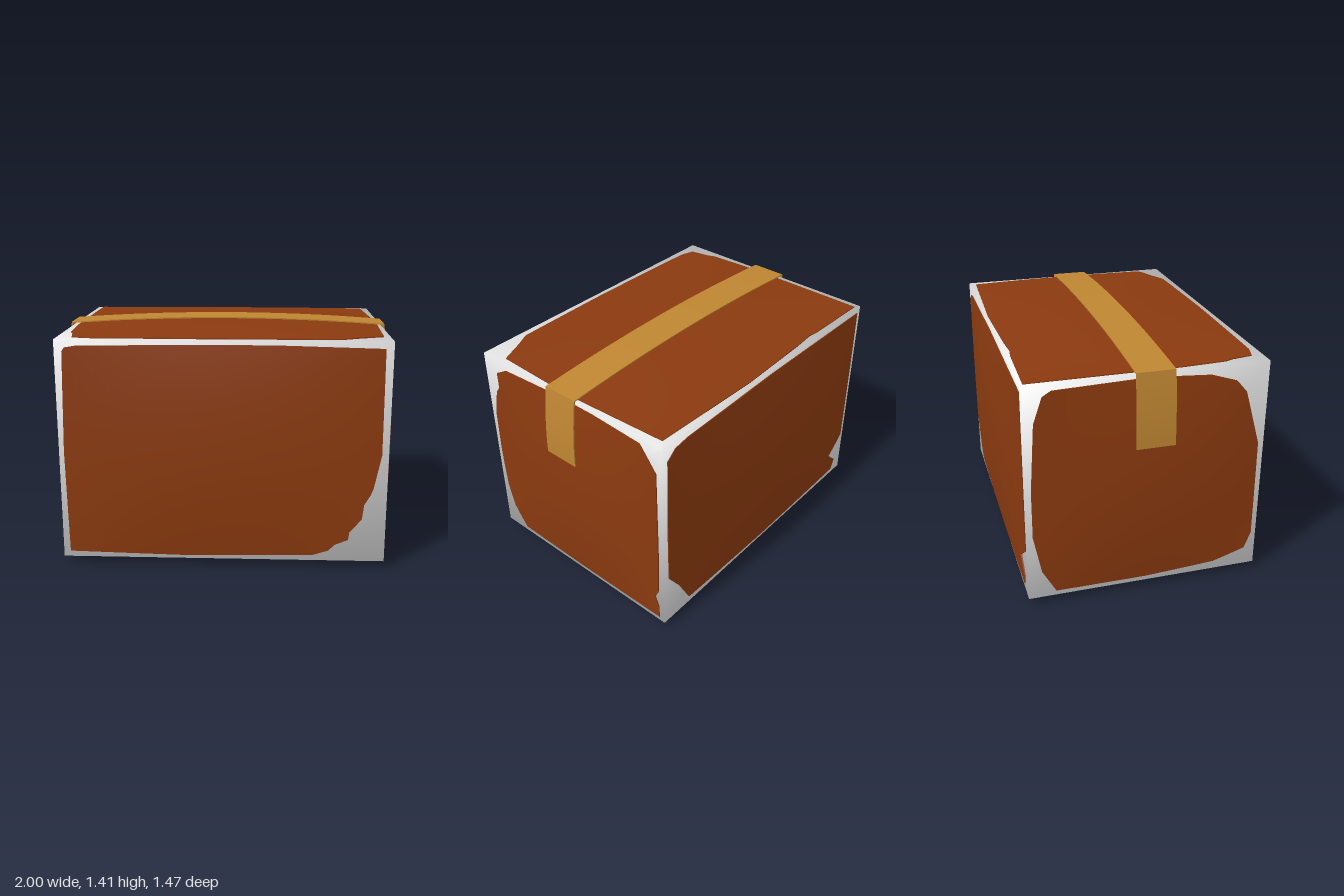
import * as THREE from 'three';
import { toCreasedNormals } from 'three/addons/utils/BufferGeometryUtils.js';

const HALF = new THREE.Vector3(0.95, 0.655, 0.69); // half size of the box
const MID = 0.7;                                   // height of its centre
const BULGE = 0.042;

const mat = (name, color, side = THREE.FrontSide) => {
  const m = new THREE.MeshStandardMaterial({ color, side });
  m.name = name;
  return m;
};

// Splits the long edges of a closed outline.
function densify(points, step = 0.1) {
  const out = [];
  points.forEach((p, i) => {
    const q = points[(i + 1) % points.length];
    const n = Math.ceil(Math.hypot(q[0] - p[0], q[1] - p[1]) / step);
    for (let k = 0; k < n; k++) {
      out.push(new THREE.Vector2(p[0] + (q[0] - p[0]) * k / n, p[1] + (q[1] - p[1]) * k / n));
    }
  });
  return out;
}

// Domed panel on one face: axes u and v (0 = x, 1 = y, 2 = z), facing side * w.
function panelGeometry(u, v, w, side, points) {
  const outline = densify(points);
  const oddAxes = (v - u + 3) % 3 !== 1;
  const flip = (THREE.ShapeUtils.area(outline) < 0) !== (oddAxes !== (side < 0));
  const offset = [0, MID, 0];
  const size = HALF.toArray();
  const RINGS = 10;
  const at = (ring, i) => {
    const p = outline[i % outline.length];
    const t = Math.min(ring / RINGS, 1);
    const a = (p.x - offset[u]) * t, b = (p.y - offset[v]) * t;
    const dome = (1 - (a / size[u]) ** 2) * (1 - (b / size[v]) ** 2);
    const lift = ring > RINGS ? -0.005 : 0.003 + BULGE * dome;
    const pos = [0, 0, 0];
    pos[u] = a + offset[u];
    pos[v] = b + offset[v];
    pos[w] = offset[w] + side * (size[w] + lift);
    return pos;
  };
  const verts = [];
  const tri = (a, b, c) => verts.push(...a, ...(flip ? c : b), ...(flip ? b : c));
  // rings from the centre out; the last one is the rim going into the box
  for (let r = 0; r <= RINGS; r++) {
    for (let i = 0; i < outline.length; i++) {
      tri(at(r, i), at(r + 1, i), at(r + 1, i + 1));
      if (r > 0) tri(at(r, i), at(r + 1, i + 1), at(r, i + 1));
    }
  }
  const g = new THREE.BufferGeometry();
  g.setAttribute('position', new THREE.Float32BufferAttribute(verts, 3));
  return toCreasedNormals(g, 0.6);
}

// Strap profile: over the domed top and down both sides, seen from the front.
function tapeGeometry(z0, z1) {
  const path = (grow) => {
    const half = [];
    for (let i = 0; i <= 8; i++) { // side, from the loose end up
      const y = 0.94 + (1.364 - 0.94) * i / 8;
      half.push([0.957 + 0.036 * (1 - ((y - 0.94) / 0.424) ** 2) + grow, y + grow * i / 8]);
    }
    for (let i = 1; i <= 12; i++) { // top, to the middle
      const x = 0.957 * (1 - i / 12);
      half.push([x, 1.364 + 0.036 * (1 - (x / 0.957) ** 2) + grow]);
    }
    const mirrored = half.slice(0, -1).reverse().map(([x, y]) => [-x, y]);
    return [...half, ...mirrored].map(([x, y]) => new THREE.Vector2(x, y));
  };
  const shape = new THREE.Shape([...path(0.007), ...path(0).reverse()]);
  const g = new THREE.ExtrudeGeometry(shape, { depth: z1 - z0, bevelEnabled: false });
  g.translate(0, 0, z0);
  return toCreasedNormals(g, 0.6);
}

// Worn outline of each panel, in the two axes of its face.
const FRONT = [[-0.91, 0.08], [-0.92, 0.7], [-0.905, 1.29], [-0.89, 1.31], [-0.83, 1.32], [-0.2, 1.33],
  [0.3, 1.33], [0.905, 1.315], [0.91, 0.7], [0.87, 0.5], [0.855, 0.46], [0.82, 0.4], [0.81, 0.31],
  [0.74, 0.23], [0.735, 0.18], [0.66, 0.15], [0.62, 0.11], [0.53, 0.08], [-0.2, 0.065]];
const BACK = [[0.91, 0.39], [0.915, 0.8], [0.91, 1.25], [0.85, 1.3], [0.75, 1.315], [0, 1.33], [-0.92, 1.32],
  [-0.92, 0.35], [-0.78, 0.24], [-0.87, 0.155], [-0.845, 0.08], [0, 0.07], [0.73, 0.09], [0.76, 0.145], [0.82, 0.26]];
const LEFT = [[0.5, 1.31], [0.585, 1.26], [0.58, 1.16], [0.61, 1.12], [0.65, 0.95], [0.655, 0.65], [0.64, 0.38],
  [0.6, 0.22], [0.51, 0.08], [0, 0.075], [-0.655, 0.075], [-0.65, 0.17], [-0.625, 0.23], [-0.65, 0.29],
  [-0.655, 0.6], [-0.65, 1.17], [-0.54, 1.315], [-0.2, 1.335], [0.1, 1.335]];
const RIGHT = [[-0.63, 1.14], [-0.58, 1.29], [-0.53, 1.32], [0, 1.335], [0.35, 1.31], [0.5, 1.26], [0.56, 1.19],
  [0.6, 1.05], [0.655, 0.86], [0.66, 0.26], [0.62, 0.16], [0.425, 0.1], [0, 0.075], [-0.53, 0.075],
  [-0.61, 0.22], [-0.655, 0.45], [-0.655, 0.74]];
const TOP = [[-0.915, -0.67], [-0.5, -0.66], [-0.43, -0.65], [-0.3, -0.66], [0.2, -0.675], [0.9, -0.65],
  [0.93, 0], [0.91, 0.54], [0.76, 0.6], [0.67, 0.645], [0, 0.655], [-0.77, 0.645], [-0.86, 0.62],
  [-0.88, 0.5], [-0.9, 0.45], [-0.915, 0.2]];
const BOTTOM = [[0.9, 0.65], [0.87, 0.03], [0.88, -0.28], [0.82, -0.49], [0.69, -0.65], [0, -0.65],
  [-0.51, -0.66], [-0.82, -0.6], [-0.88, -0.46], [-0.92, 0], [-0.91, 0.65], [0, 0.66]];

export function createModel() {
  const group = new THREE.Group();
  group.name = 'cardboardBox';
  const edgeWhite = mat('edgeWhite', 0xe7e7e7);
  const cardboard = mat('cardboardBrown', 0x8b3a0f);
  const tapeMat = mat('tapeTan', 0xbf8632);
  const add = (name, geometry, material) => {
    const mesh = new THREE.Mesh(geometry, material);
    mesh.name = name;
    group.add(mesh);
  };

  // pale core showing at the worn edges, shaded softly round its corners
  const core = new THREE.BoxGeometry(HALF.x * 2, HALF.y * 2, HALF.z * 2);
  const pos = core.attributes.position, n = new THREE.Vector3();
  for (let i = 0; i < pos.count; i++) {
    n.fromBufferAttribute(pos, i).divide(HALF).normalize();
    core.attributes.normal.setXYZ(i, n.x, n.y, n.z);
  }
  core.translate(0, MID, 0);
  add('core', core, edgeWhite);

  // six bulging cardboard panels
  const panels = {
    frontPanel: [0, 1, 2, 1, FRONT], backPanel: [0, 1, 2, -1, BACK],
    leftPanel: [2, 1, 0, 1, LEFT], rightPanel: [2, 1, 0, -1, RIGHT],
    topPanel: [0, 2, 1, 1, TOP], bottomPanel: [0, 2, 1, -1, BOTTOM],
  };
  for (const [name, args] of Object.entries(panels)) add(name, panelGeometry(...args), cardboard);

  // packing tape over the top and down both ends
  add('tape', tapeGeometry(-0.08, 0.142), tapeMat);
  return group;
}
